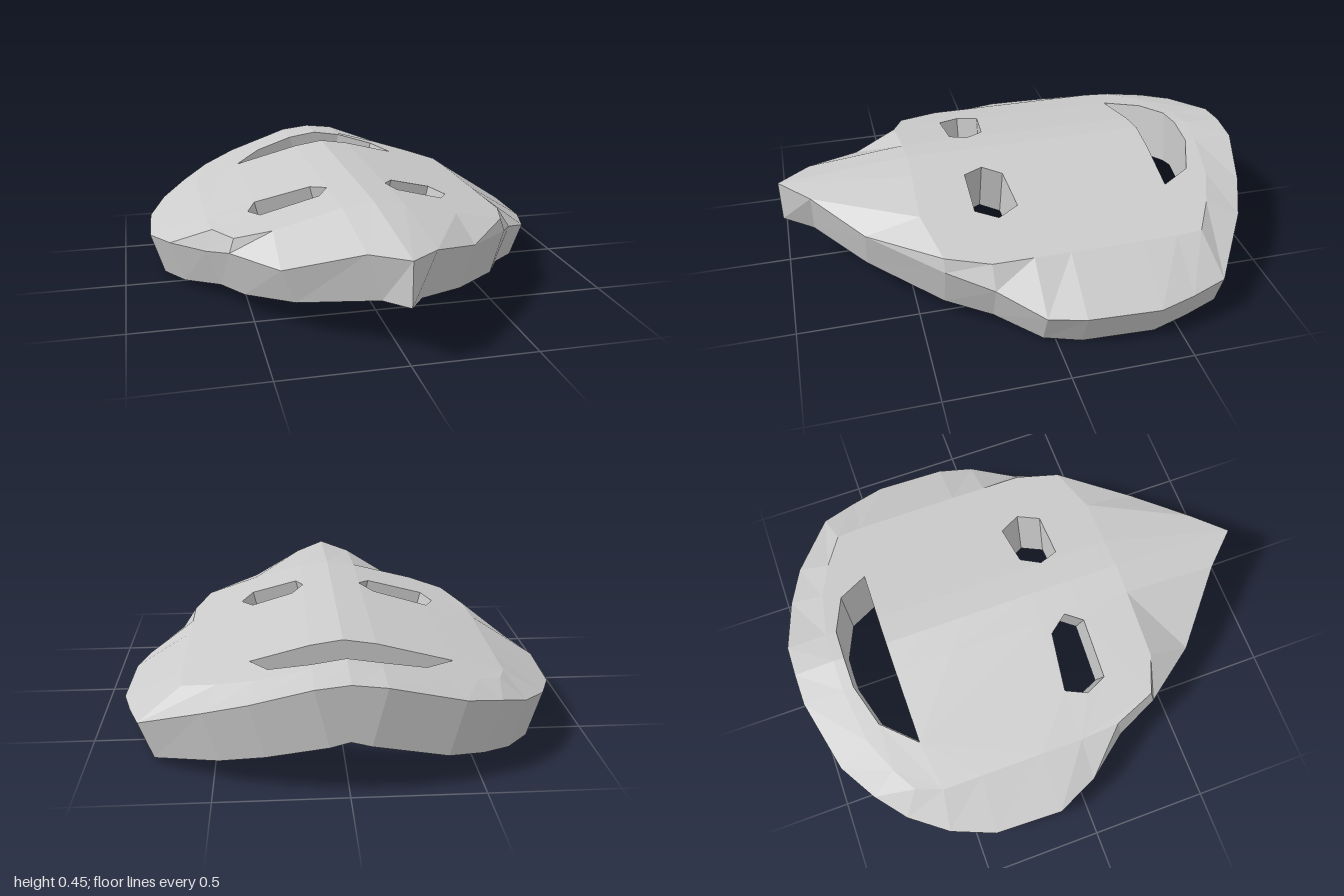
import * as THREE from 'three';

// Rim points, counter-clockwise from the chin: rim x, z, height, then paired crease x, z
const RIM = [
  [0, 1, .405, 0, .45], [.13, .875, .39, .13, .45], [.35, .68, .32, .35, .455],
  [.59, .40, .265, .57, .40], [.69, .22, .215, .63, .22], [.83, .05, .155, .63, .05],
  [.87, -.10, .155, .63, -.10], [.88, -.40, .15, .63, -.40], [.84, -.55, .16, .63, -.55],
  [.79, -.70, .175, .62, -.66], [.53, -.87, .29, .48, -.74], [.36, -.94, .35, .33, -.80],
  [.13, -1, .43, .13, -.83], [0, -1, .445, 0, -.83], [-.13, -1, .43, -.13, -.83],
  [-.42, -.94, .345, -.36, -.80], [-.57, -.85, .30, -.50, -.74], [-.69, -.75, .25, -.60, -.68],
  [-.80, -.60, .21, -.64, -.57], [-.87, -.42, .18, -.64, -.40], [-.88, -.13, .18, -.64, -.13],
  [-.80, .05, .20, -.64, .05], [-.66, .23, .215, -.63, .22], [-.58, .41, .265, -.56, .40],
  [-.41, .64, .265, -.41, .455], [-.13, .865, .39, -.13, .45],
];
// Openings as x, z, clockwise seen from above
const OPENINGS = {
  foreheadOpening: [[-.43, -.6], [-.305, -.735], [-.13, -.785], [0, -.785], [.13, -.785],
    [.29, -.725], [.36, -.6], [.13, -.6], [0, -.6], [-.13, -.6]],
  rightEyeOpening: [[-.43, .05], [-.19, .08], [-.13, .16], [-.18, .23], [-.43, .23], [-.47, .14]],
  leftEyeOpening: [[.18, .07], [.36, .05], [.41, .14], [.36, .23], [.16, .23], [.13, .15]],
};
const FOLDS = [-2, -.13, 0, .13, 2]; // the plate bends along these x lines

// Height of the upper face across the mask
function roof(x) {
  const a = Math.abs(x);
  if (a < .13) return .455 - a * .02 / .13;
  return a < .63 ? .435 - (a - .13) * .26 : .305 - (a - .63) * .6;
}
const topPoint = ([x, z]) => [x, roof(x), z];
// Underside point below (x, z): walls lean in towards the middle
function lowPoint([x, z]) {
  const a = Math.abs(x);
  const y = a < .13 ? .225 - a * .02 / .13 : .205 - (a - .13) * .2733;
  return [x - Math.sign(x) * .055 * Math.min(1, a / .13), Math.max(0, y), z];
}

// Cut a convex polygon to the strip lo <= x <= hi
function strip(poly, lo, hi) {
  for (const [limit, s] of [[lo, 1], [hi, -1]]) {
    const out = [];
    poly.forEach((p, i) => {
      const q = poly[(i + 1) % poly.length];
      const dp = s * (p[0] - limit), dq = s * (q[0] - limit);
      if (dp >= 0) out.push(p);
      if (dp * dq < 0) {
        const t = dp / (dp - dq);
        out.push([limit, p[1] + (q[1] - p[1]) * t]);
      }
    });
    poly = out;
  }
  return poly;
}

// Fill an outline with holes, folded along FOLDS, facing up or down
function sheet(outline, holes, place, up) {
  const toV = (l) => l.map(([x, z]) => new THREE.Vector2(x, z));
  const all = [outline, ...holes].flat();
  const tris = [];
  for (const f of THREE.ShapeUtils.triangulateShape(toV(outline), holes.map(toV))) {
    for (let k = 0; k < FOLDS.length - 1; k++) {
      const poly = strip(f.map((i) => all[i]), FOLDS[k], FOLDS[k + 1]);
      for (let i = 1; i + 1 < poly.length; i++) {
        const [a, b, c] = [poly[0], poly[i], poly[i + 1]];
        const area = (b[1] - a[1]) * (c[0] - a[0]) - (b[0] - a[0]) * (c[1] - a[1]);
        if (Math.abs(area) < 1e-9) continue;
        tris.push(...((area > 0) === up ? [a, b, c] : [a, c, b]).map(place));
      }
    }
  }
  return tris;
}

// Band of quads between two closed loops of equal length
function band(low, high) {
  return low.flatMap((a, i) => {
    const j = (i + 1) % low.length;
    return [a, low[j], high[j], a, high[j], high[i]];
  });
}

export function createModel() {
  const group = new THREE.Group();
  group.name = 'mask';
  const material = new THREE.MeshStandardMaterial({ color: 0xcccccc, flatShading: true });
  const add = (name, points) => {
    const geometry = new THREE.BufferGeometry();
    geometry.setAttribute('position', new THREE.Float32BufferAttribute(points.flat(), 3));
    geometry.computeVertexNormals();
    const mesh = new THREE.Mesh(geometry, material);
    mesh.name = name;
    group.add(mesh);
  };

  const outline = RIM.map(([x, z]) => [x, z]);
  const crease = RIM.map((r) => [r[3], r[4]]);
  const rimTop = RIM.map(([x, z, y]) => [x, y, z]);
  const holes = Object.values(OPENINGS);

  add('upperFace', sheet(crease, holes, topPoint, true));
  add('slopedBorder', band(rimTop, crease.map(topPoint)));
  add('outerWall', band(outline.map(lowPoint), rimTop));
  add('underside', sheet(outline, holes, lowPoint, false));
  for (const [name, loop] of Object.entries(OPENINGS)) {
    add(name, band(loop.map(lowPoint), loop.map(topPoint)));
  }
  return group;
}
